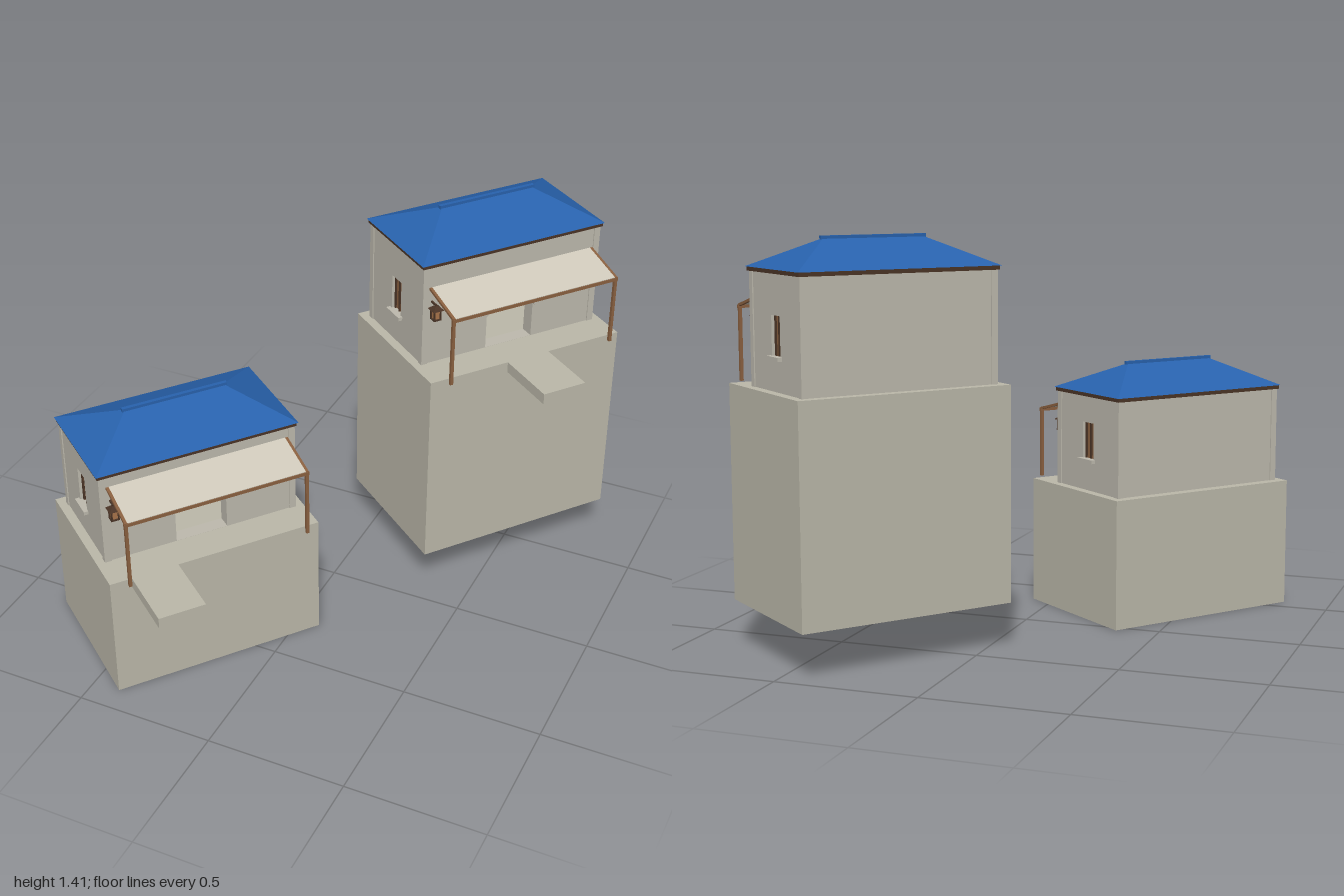
import * as THREE from 'three';

const mat = (name, color, side = THREE.FrontSide) => {
  const m = new THREE.MeshStandardMaterial({ color, side });
  m.name = name;
  return m;
};

export function createModel() {
  const stone = mat('stone', 0xbbb8a9);
  const plaster = mat('plaster', 0xbdb9ad);
  const blue = mat('blueRoof', 0x2862ad);
  const cloth = mat('cloth', 0xd0cabb);
  const wood = mat('wood', 0x8a6040);
  const dark = mat('darkWood', 0x4a3426);
  const glow = mat('lanternGlass', 0xa8744a);

  const add = (parent, name, geometry, material, x = 0, y = 0, z = 0) => {
    const m = new THREE.Mesh(geometry, material);
    m.name = name;
    m.position.set(x, y, z);
    parent.add(m);
    return m;
  };
  const box = (parent, name, material, w, h, d, x, y, z) =>
    add(parent, name, new THREE.BoxGeometry(w, h, d), material, x, y, z);

  // Wall slab with its outer face at z = 0 and its foot at y = 0
  const wall = (parent, name, w, h, t, hole) => {
    const s = new THREE.Shape();
    s.moveTo(-w / 2, 0).lineTo(w / 2, 0).lineTo(w / 2, h).lineTo(-w / 2, h).closePath();
    if (hole) s.holes.push(hole);
    const g = new THREE.ExtrudeGeometry(s, { depth: t, bevelEnabled: false, curveSegments: 14 });
    g.translate(0, 0, -t);
    return add(parent, name, g, plaster);
  };

  // House footprint, relative to the plinth centre
  const HX = 0.355, ZB = -0.235, ZF = 0.148, ZC = (ZB + ZF) / 2, T = 0.05;
  const R = 0.095, SPRING = 0.13;

  function lantern(parent, x) {
    const g = new THREE.Group();
    g.name = 'lantern';
    g.position.set(x, 0.19, 0.178);
    parent.add(g);
    box(g, 'lanternBase', dark, 0.03, 0.005, 0.03, 0, 0.003, 0);
    box(g, 'lanternGlass', glow, 0.02, 0.034, 0.02, 0, 0.022, 0);
    for (const a of [-1, 1]) for (const b of [-1, 1])
      box(g, 'lanternBar', dark, 0.005, 0.036, 0.005, a * 0.012, 0.022, b * 0.012);
    const cap = add(g, 'lanternCap', new THREE.CylinderGeometry(0.008, 0.03, 0.014, 4).toNonIndexed(), dark, 0, 0.047, 0);
    cap.geometry.computeVertexNormals();
    cap.rotation.y = Math.PI / 4;
    box(g, 'lanternBracket', dark, 0.006, 0.006, 0.034, 0, 0.056, -0.015);
  }

  function windowEnd(parent, side, h) {
    const g = new THREE.Group();
    g.name = 'endWall';
    g.position.set(side * HX, 0, ZC);
    g.rotation.y = side * Math.PI / 2;
    parent.add(g);
    const hole = new THREE.Path();
    hole.moveTo(-0.033, 0.115).lineTo(-0.033, 0.248).lineTo(0.033, 0.248).lineTo(0.033, 0.115).closePath();
    wall(g, 'gableWall', ZF - ZB, h, T, hole);
    box(g, 'windowPanel', wood, 0.066, 0.133, 0.008, 0, 0.1815, -0.02);
    for (const x of [-0.029, 0, 0.029])
      box(g, 'windowBar', dark, 0.006, 0.133, 0.008, x, 0.1815, -0.014);
    box(g, 'windowSill', plaster, 0.09, 0.013, 0.024, 0, 0.11, 0.004);
  }

  function awning(parent) {
    const g = new THREE.Group();
    g.name = 'awning';
    parent.add(g);
    const back = [0.3, ZF], front = [0.259, 0.312];
    const len = Math.hypot(front[0] - back[0], front[1] - back[1]);
    const tilt = Math.atan2(back[0] - front[0], front[1] - back[1]);
    const y = (back[0] + front[0]) / 2, z = (back[1] + front[1]) / 2;
    box(g, 'awningCloth', cloth, 0.65, 0.005, len, 0, y, z).rotation.x = tilt;
    for (let i = 0; i < 5; i++)
      box(g, 'awningRafter', wood, 0.01, 0.009, len, -0.328 + i * 0.164, y - (i % 4 ? 0.008 : 0.002), z).rotation.x = tilt;
    box(g, 'awningBeam', wood, 0.67, 0.012, 0.01, 0, 0.253, 0.31);
    for (const s of [-1, 1])
      box(g, 'awningPost', wood, 0.011, 0.25, 0.011, s * 0.328, 0.125, 0.308);
  }

  function arch(parent) {
    // Voussoirs standing slightly proud of the wall
    const n = 9;
    for (let i = 0; i < n; i++) {
      const a = Math.PI * (i + 0.5) / n;
      const r = R + 0.013;
      const v = box(parent, 'archStone', plaster, 0.026, 0.028, 0.02,
        Math.cos(a) * r, SPRING + Math.sin(a) * r, ZF);
      v.rotation.z = a;
    }
  }

  function house(name, x, z, y0, top, eave, stepX) {
    const root = new THREE.Group();
    root.name = name;
    root.position.set(x, top, z);
    root.rotation.y = 0.905;

    // Plinth and projecting step
    box(root, 'plinth', stone, 0.776, top - y0, 0.545, 0, (y0 - top) / 2, 0);
    box(root, 'step', stone, 0.168, 0.04, 0.238, stepX, -0.02, 0.39);

    // Walls
    const door = new THREE.Path();
    door.moveTo(-R, 0.0005).lineTo(-R, SPRING).absarc(0, SPRING, R, Math.PI, 0, true).lineTo(R, 0.0005).closePath();
    wall(root, 'frontWall', HX * 2 - T * 2, eave, T, door).position.z = ZF;
    const rear = wall(root, 'backWall', HX * 2 - T * 2, eave, T);
    rear.position.z = ZB;
    rear.rotation.y = Math.PI;
    for (const s of [-1, 1]) {
      windowEnd(root, s, eave);
      for (const zz of [ZB, ZF])
        box(root, 'cornerPost', plaster, 0.024, eave, 0.024,
          s * (HX - 0.008), eave / 2, zz + (zz > 0 ? -0.008 : 0.008));
    }
    arch(root);

    // Slatted bench along the back of the room
    box(root, 'benchTop', wood, 0.55, 0.008, 0.05, 0.03, 0.062, -0.16);
    box(root, 'benchBody', dark, 0.53, 0.058, 0.036, 0.03, 0.029, -0.16);
    for (let i = 0; i < 14; i++)
      box(root, 'benchSlat', wood, 0.018, 0.05, 0.006, -0.22 + i * 0.0385, 0.03, -0.14);

    // Hip roof: a box whose top is drawn in to the ridge
    box(root, 'fascia', dark, 0.728, 0.014, 0.402, 0, eave - 0.007, ZC);
    const hip = new THREE.BoxGeometry(0.738, 0.094, 0.412);
    const p = hip.attributes.position;
    for (let i = 0; i < p.count; i++)
      if (p.getY(i) > 0) p.setXYZ(i, Math.sign(p.getX(i)) * 0.184, p.getY(i), Math.sign(p.getZ(i)) * 0.004);
    hip.computeVertexNormals();
    add(root, 'hipRoof', hip, blue, 0, eave + 0.047, ZC);
    box(root, 'ridgeCap', blue, 0.385, 0.012, 0.014, 0, eave + 0.097, ZC);

    awning(root);
    for (const s of [-1, 1]) lantern(root, s * 0.322);
    return root;
  }

  const model = new THREE.Group();
  model.name = 'cliffHouses';
  model.add(house('lowerHouse', -0.375, 0.4375, 0, 0.466, 0.358, -0.225));
  model.add(house('upperHouse', 0.37, -0.525, 0.163, 0.909, 0.396, 0.008));
  return model;
}
